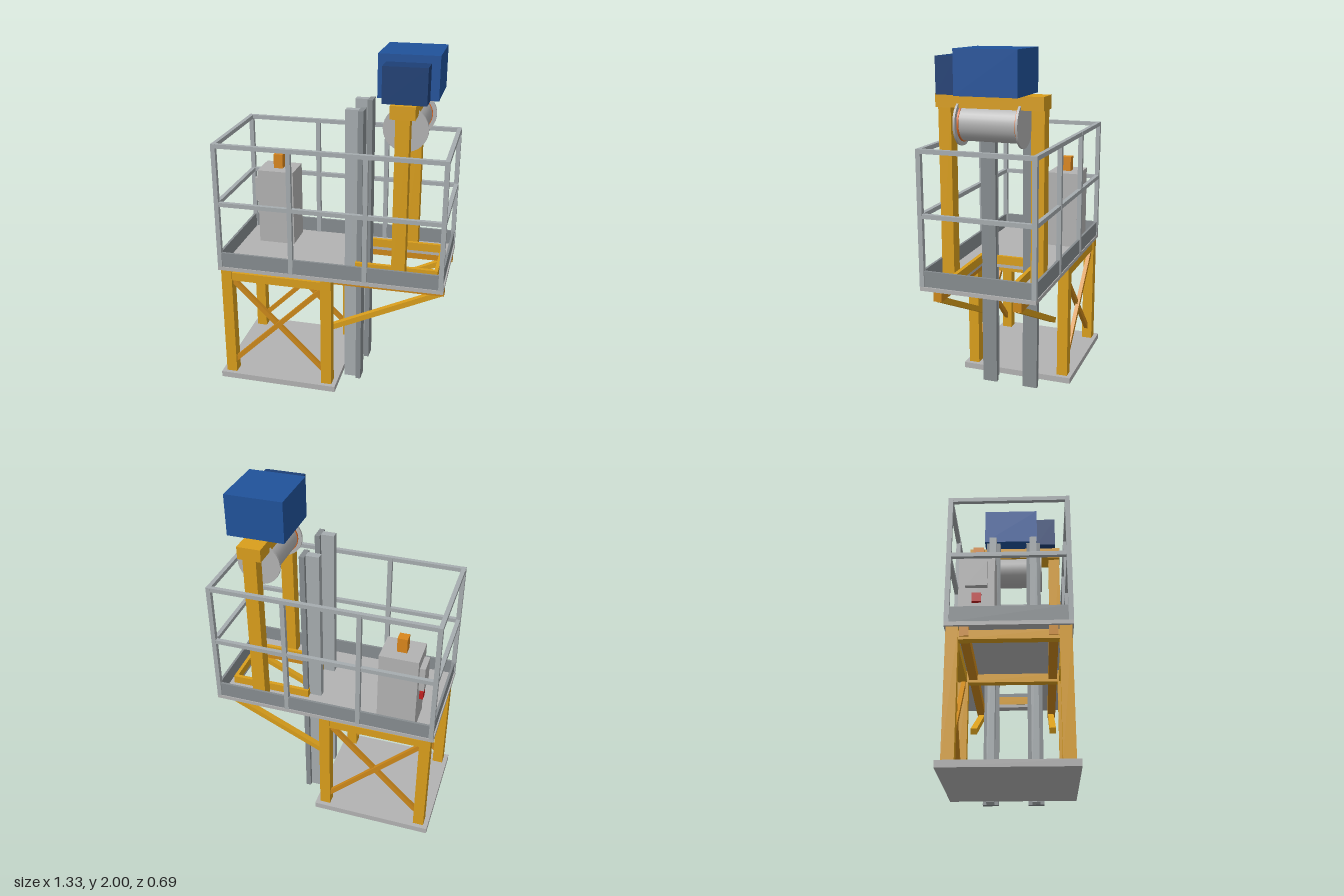
import * as THREE from 'three';

const mat = (color, side = THREE.FrontSide) => new THREE.MeshStandardMaterial({ color, side });
const YELLOW = mat(0xd99e1c), AMBER = mat(0xcc881a), ORANGE = mat(0xd9861c), BLUE = mat(0x20529a),
  NAVY = mat(0x1d3f75), STEEL = mat(0xa6acaf), DARK = mat(0x868c8f), GREY = mat(0xb2b2b2),
  RED = mat(0xc02020), ROPE = mat(0xd86a28);

// Box given by its limits on each axis
function box(parent, name, m, x0, x1, y0, y1, z0, z1) {
  const mesh = new THREE.Mesh(new THREE.BoxGeometry(x1 - x0, y1 - y0, z1 - z0), m);
  mesh.position.set((x0 + x1) / 2, (y0 + y1) / 2, (z0 + z1) / 2);
  mesh.name = name;
  parent.add(mesh);
  return mesh;
}

// Slanted bar in a plane of constant z
function bar(parent, name, m, xa, ya, xb, yb, z, h, d) {
  const mesh = new THREE.Mesh(new THREE.BoxGeometry(Math.hypot(xb - xa, yb - ya), h, d), m);
  mesh.position.set((xa + xb) / 2, (ya + yb) / 2, z);
  mesh.rotation.z = Math.atan2(yb - ya, xb - xa);
  mesh.name = name;
  parent.add(mesh);
}

function group(parent, name) {
  const g = new THREE.Group();
  g.name = name;
  parent.add(g);
  return g;
}

export function createModel() {
  const model = new THREE.Group();
  model.name = 'liftMachinePlatform';

  // Ground plate and braced support tower
  const tower = group(model, 'supportTower');
  box(tower, 'basePlate', GREY, -0.667, 0.05, 0, 0.036, -0.345, 0.342);
  for (const s of [-1, 1]) {
    const z = s * 0.287;
    for (const x of [-0.608, -0.008])
      box(tower, 'leg', YELLOW, x - 0.032, x + 0.032, 0.036, 0.73, z - 0.032, z + 0.032);
    box(tower, 'sideBeam', YELLOW, -0.577, -0.04, 0.662, 0.712, z - 0.025, z + 0.025);
    bar(tower, 'crossBrace', AMBER, -0.59, 0.108, -0.03, 0.662, z + 0.006, 0.028, 0.024);
    bar(tower, 'crossBrace', AMBER, -0.59, 0.662, -0.03, 0.108, z - 0.006, 0.028, 0.024);
    // Cantilever beam with its diagonal strut
    box(tower, 'cantileverBeam', AMBER, -0.64, 0.66, 0.678, 0.73, s * 0.226 - 0.024, s * 0.226 + 0.024);
    bar(tower, 'cantileverStrut', YELLOW, 0.01, 0.385, 0.645, 0.688, s * 0.222, 0.032, 0.036);
  }
  for (const x of [-0.608, -0.008])
    box(tower, 'endBeam', YELLOW, x - 0.025, x + 0.025, 0.662, 0.712, -0.257, 0.257);

  // Deck with a rope opening
  const deckShape = new THREE.Shape();
  deckShape.moveTo(-0.655, -0.328).lineTo(0.662, -0.328).lineTo(0.662, 0.328).lineTo(-0.655, 0.328).closePath();
  const hole = new THREE.Path();
  hole.moveTo(0.152, -0.17).lineTo(0.152, 0.17).lineTo(0.595, 0.17).lineTo(0.595, -0.17).closePath();
  deckShape.holes.push(hole);
  const deckGeo = new THREE.ExtrudeGeometry(deckShape, { depth: 0.022, bevelEnabled: false });
  deckGeo.rotateX(-Math.PI / 2);
  const deck = new THREE.Mesh(deckGeo, GREY);
  deck.position.y = 0.73;
  deck.name = 'deck';
  model.add(deck);

  // Raised frame around the opening
  const coaming = group(model, 'openingFrame');
  for (const s of [-1, 1])
    box(coaming, 'frameSide', YELLOW, 0.135, 0.613, 0.75, 0.8, s * 0.177 - 0.011, s * 0.177 + 0.011);
  box(coaming, 'frameEnd', YELLOW, 0.135, 0.154, 0.75, 0.8, -0.166, 0.166);
  box(coaming, 'frameEnd', YELLOW, 0.593, 0.613, 0.75, 0.8, -0.166, 0.166);

  // Guard railing: posts, rails and toe boards
  const railing = group(model, 'guardRailing');
  const w = 0.013, xl = -0.64, xr = 0.647, zs = 0.316;
  for (const s of [-1, 1]) {
    const z = s * zs;
    for (const x of [xl, -0.211, 0.218, xr])
      box(railing, 'post', STEEL, x - w, x + w, 0.752, 1.498, z - w, z + w);
    for (const y of [1.142, 1.486])
      box(railing, 'sideRail', STEEL, xl - w, xr + w, y - 0.012, y + 0.012, z - 0.012, z + 0.012);
    box(railing, 'sideToeBoard', DARK, xl, xr, 0.752, 0.84, z - 0.007, z + 0.007);
  }
  for (const x of [xl, xr]) {
    for (const y of [1.142, 1.486])
      box(railing, 'endRail', STEEL, x - 0.012, x + 0.012, y - 0.012, y + 0.012, -zs, zs);
    box(railing, 'endToeBoard', DARK, x - 0.007, x + 0.007, 0.752, 0.84, -zs, zs);
  }

  // T-section guide rails
  for (const z of [-0.13, 0.124]) {
    const rail = group(model, 'guideRail');
    box(rail, 'railStem', STEEL, 0.065, 0.14, 0, 1.69, z - 0.022, z + 0.022);
    box(rail, 'railFlange', DARK, 0.14, 0.17, 0, 1.69, z - 0.044, z + 0.044);
  }

  // Gantry carrying the hoist
  const gantry = group(model, 'hoistGantry');
  for (const s of [-1, 1])
    box(gantry, 'gantryColumn', YELLOW, 0.364, 0.44, 0.752, 1.7, s * 0.26 - 0.036, s * 0.26 + 0.036);
  box(gantry, 'gantryBeam', YELLOW, 0.334, 0.468, 1.692, 1.764, -0.299, 0.299);

  // Rope drum, axis along z
  const drum = group(model, 'ropeDrum');
  drum.position.set(0.402, 1.61, 0);
  const disc = (name, r, len, z, m) => {
    const geo = new THREE.CylinderGeometry(r, r, len, 32);
    geo.rotateX(Math.PI / 2);
    const mesh = new THREE.Mesh(geo, m);
    mesh.position.z = z;
    mesh.name = name;
    drum.add(mesh);
  };
  disc('drumBody', 0.098, 0.33, 0, GREY);
  for (const s of [-1, 1]) {
    disc('drumFlange', 0.124, 0.012, s * 0.172, GREY);
    disc('ropeBand', 0.102, 0.01, s * 0.16, ROPE);
  }

  // Hoist motor housing
  const motor = group(model, 'hoistMotor');
  box(motor, 'motorHousing', BLUE, 0.24, 0.568, 1.764, 2, -0.195, 0.15);
  box(motor, 'gearbox', NAVY, 0.285, 0.522, 1.764, 1.96, 0.15, 0.27);

  // Control cabinet
  const cabinet = group(model, 'controlCabinet');
  box(cabinet, 'cabinetBody', GREY, -0.533, -0.31, 0.752, 1.218, -0.273, -0.08);
  box(cabinet, 'beacon', ORANGE, -0.45, -0.393, 1.218, 1.305, -0.205, -0.147);
  box(cabinet, 'sidePanel', GREY, -0.564, -0.533, 1.005, 1.155, -0.235, -0.117);
  box(cabinet, 'stopButton', RED, -0.555, -0.533, 0.917, 0.967, -0.2, -0.15);

  return model;
}
